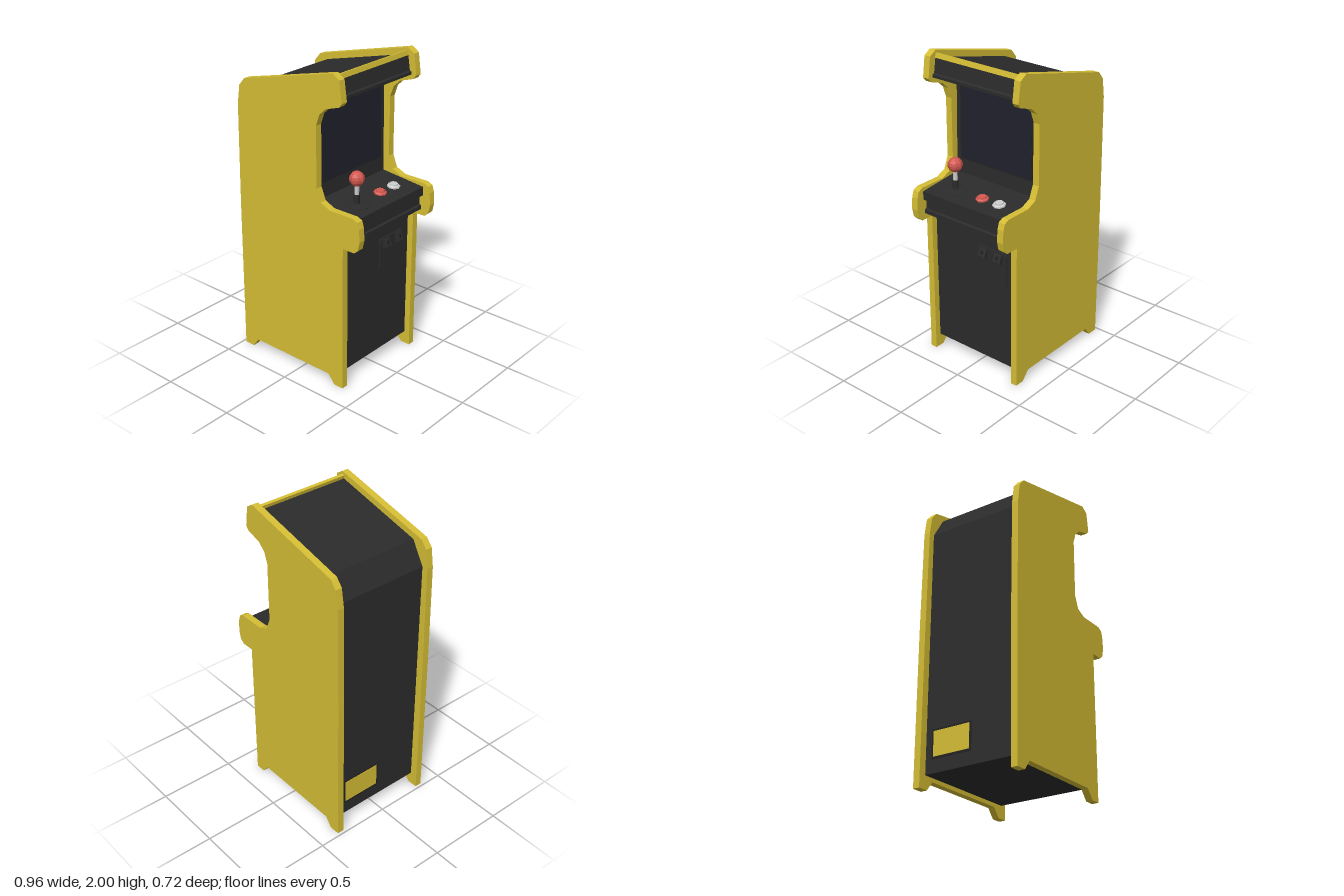
import * as THREE from 'three';

const mat = (color) => new THREE.MeshStandardMaterial({ color, flatShading: true });
const yellow = mat(0xd4bd34), black = mat(0x2b2b2b), dark = mat(0x222222);
const glass = mat(0x21212e), red = mat(0xd2574f), grey = mat(0xcccccc);

function add(parent, name, geometry, material, x = 0, y = 0, z = 0) {
  const mesh = new THREE.Mesh(geometry, material);
  mesh.name = name;
  mesh.position.set(x, y, z);
  parent.add(mesh);
  return mesh;
}

// Profile in x/y, extruded from z0 to z1
function prism(points, z0, z1) {
  const shape = new THREE.Shape(points.map(([x, y]) => new THREE.Vector2(x, y)));
  const g = new THREE.ExtrudeGeometry(shape, { depth: z1 - z0, bevelEnabled: false });
  return g.translate(0, 0, z0);
}

// Rounded plate lying in the z/y plane, facing +x
function plate(w, h, r, depth) {
  const s = new THREE.Shape(), a = w / 2, b = h / 2;
  s.moveTo(-a + r, -b).lineTo(a - r, -b).quadraticCurveTo(a, -b, a, -b + r);
  s.lineTo(a, b - r).quadraticCurveTo(a, b, a - r, b);
  s.lineTo(-a + r, b).quadraticCurveTo(-a, b, -a, b - r);
  s.lineTo(-a, -b + r).quadraticCurveTo(-a, -b, -a + r, -b);
  return new THREE.ExtrudeGeometry(s, { depth, bevelEnabled: false, curveSegments: 3 }).rotateY(Math.PI / 2);
}

const lathe = (pts, sides = 8) =>
  new THREE.LatheGeometry(pts.map(([r, y]) => new THREE.Vector2(r, y)), sides);

export function createModel() {
  const model = new THREE.Group();
  model.name = 'arcadeCabinet';

  // Side panels
  const side = [
    [-0.48, 0], [-0.41, 0], [-0.365, 0.06], [0.24, 0.06], [0.29, 0], [0.355, 0],
    [0.355, 0.96], [0.44, 0.96], [0.468, 0.985], [0.48, 1.04], [0.475, 1.12], [0.462, 1.16], [0.43, 1.175],
    [0.255, 1.175], [0.187, 1.205], [0.155, 1.285], [0.155, 1.67], [0.18, 1.74], [0.23, 1.785],
    [0.325, 1.815], [0.345, 1.84], [0.327, 1.97], [0.28, 2],
    [-0.41, 1.83], [-0.452, 1.78], [-0.47, 1.66], [-0.478, 1],
  ];
  add(model, 'leftSidePanel', prism(side, 0.314, 0.358), yellow);
  add(model, 'rightSidePanel', prism(side, -0.358, -0.314), yellow);

  // Body between the panels: base, stepped control desk, screen wall, hood, sloped roof
  const body = [
    [-0.43, 0.085], [0.315, 0.085], [0.315, 0.95],
    [0.415, 1.0], [0.415, 1.025], [0.4, 1.03], [0.4, 1.09], [0.425, 1.095], [0.425, 1.15],
    [0.115, 1.181], [0.105, 1.78], [0.25, 1.835], [0.31, 1.84], [0.31, 1.858], [0.297, 1.865],
    [0.282, 1.96], [-0.345, 1.805], [-0.43, 1.66],
  ];
  add(model, 'body', prism(body, -0.315, 0.315), black);

  // Trim along the front edge of the roof
  const trim = add(model, 'roofTrim', new THREE.BoxGeometry(0.02, 0.03, 0.628), yellow, 0.272, 1.966, 0);
  trim.rotation.z = 0.24;

  // Screen with a slim surround
  const screen = new THREE.Group();
  screen.name = 'screen';
  screen.position.set(0.11, 1.52, 0);
  screen.rotation.z = 0.017;
  add(screen, 'screenSurround', plate(0.56, 0.482, 0.02, 0.006), dark);
  add(screen, 'screenGlass', plate(0.544, 0.468, 0.02, 0.008), glass, 0.001);
  model.add(screen);

  // Controls on the tilted desk
  const desk = new THREE.Group();
  desk.name = 'controls';
  desk.position.set(0.3, 1.162, 0);
  desk.rotation.z = -0.1;
  model.add(desk);
  add(desk, 'joystickBase', lathe([[0.074, -0.004], [0.074, 0.003], [0.03, 0.008], [0, 0.008]]), black, 0.003, 0, 0.163);
  const button = [[0.041, -0.004], [0.041, 0.009], [0.033, 0.015], [0.028, 0.015], [0.026, 0.023], [0, 0.024]];
  add(desk, 'redButton', lathe(button), red, 0, 0, -0.05);
  add(desk, 'greyButton', lathe(button), grey, 0, 0, -0.18);

  // Joystick
  const stick = new THREE.Group();
  stick.name = 'joystick';
  stick.position.set(0.297, 1.16, 0.165);
  add(stick, 'shaftSleeve', new THREE.CylinderGeometry(0.018, 0.018, 0.07, 8), black, 0, 0.03, 0);
  add(stick, 'shaft', new THREE.CylinderGeometry(0.014, 0.014, 0.08, 8), grey, 0, 0.095, 0);
  add(stick, 'ball', new THREE.SphereGeometry(0.047, 8, 8), red, 0, 0.165, 0);
  model.add(stick);

  // Coin door with two wedge-shaped slots
  add(model, 'coinDoor', plate(0.225, 0.222, 0.018, 0.01), black, 0.315, 0.754, -0.143);
  const wedge = [[0.32, 0.798], [0.34, 0.798], [0.355, 0.81], [0.335, 0.858], [0.32, 0.858]];
  for (const z of [-0.08, -0.197]) {
    add(model, 'coinSlot', prism(wedge, z - 0.028, z + 0.028), black);
    add(model, 'coinReturn', new THREE.BoxGeometry(0.006, 0.03, 0.012), dark, 0.347, 0.834, z);
  }

  // Service plate low on the back
  add(model, 'servicePlateFrame', new THREE.BoxGeometry(0.006, 0.18, 0.28), dark, -0.431, 0.26, -0.13);
  add(model, 'servicePlate', new THREE.BoxGeometry(0.008, 0.155, 0.255), yellow, -0.432, 0.26, -0.13);

  return model;
}
